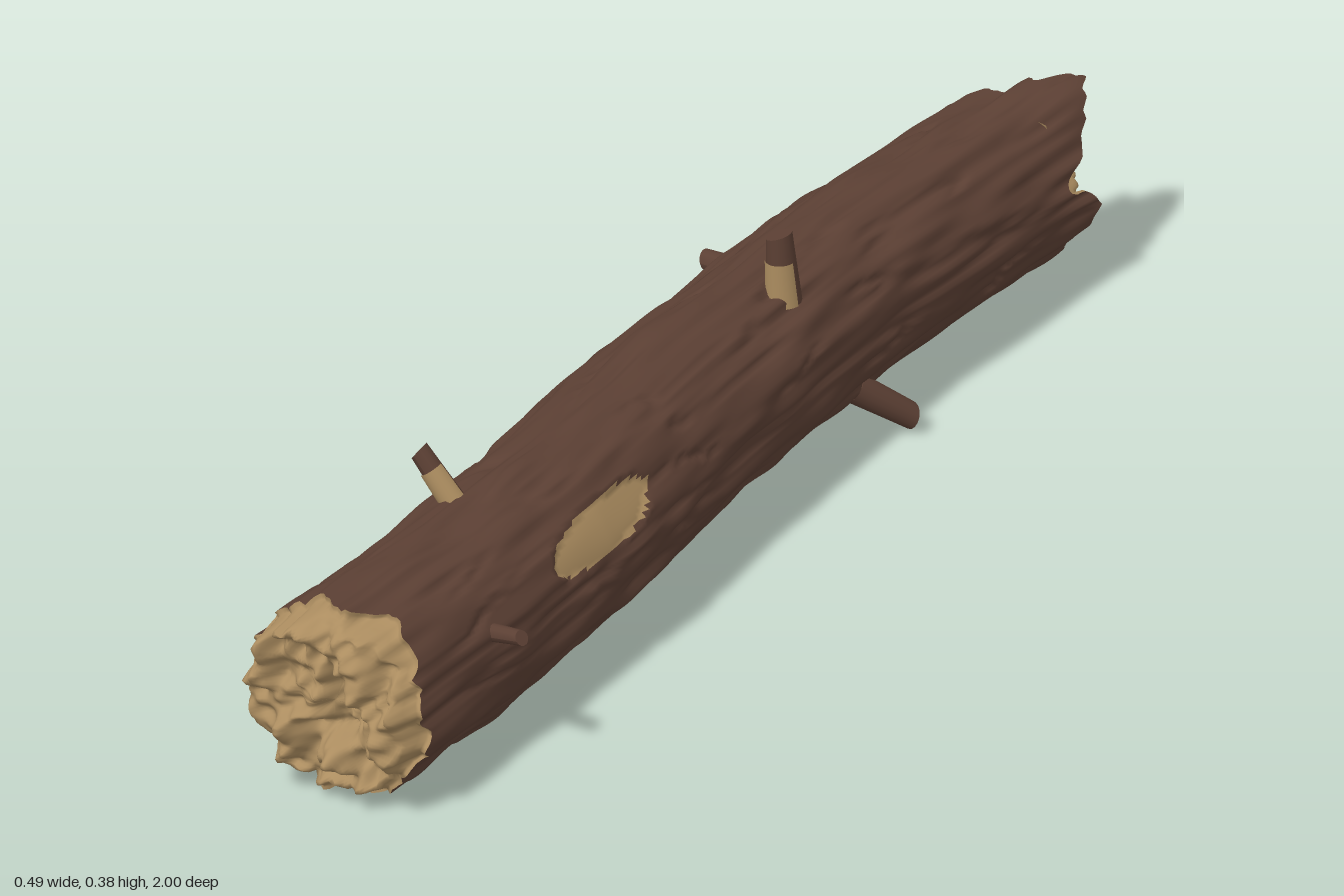
import * as THREE from 'three';

const { lerp, clamp, smoothstep } = THREE.MathUtils;

// Smooth 3D value noise in 0..1
function hash(x, y, z) {
  const s = Math.sin(x * 127.1 + y * 311.7 + z * 74.7) * 43758.5453;
  return s - Math.floor(s);
}
function noise(x, y, z) {
  const ix = Math.floor(x), iy = Math.floor(y), iz = Math.floor(z);
  const fade = (t) => t * t * (3 - 2 * t);
  const u = fade(x - ix), v = fade(y - iy), w = fade(z - iz);
  const edge = (b, c) => lerp(hash(ix, iy + b, iz + c), hash(ix + 1, iy + b, iz + c), u);
  return lerp(lerp(edge(0, 0), edge(1, 0), v), lerp(edge(0, 1), edge(1, 1), v), w);
}
const around = (a, k, z) => noise(Math.cos(a) * k + 20, Math.sin(a) * k + 20, z + 40);
const angleGap = (a, b) => Math.atan2(Math.sin(a - b), Math.cos(a - b));
const bump = (a, centre, width) => Math.exp(-((angleGap(a, centre) / width) ** 2));

// Trunk stations along its length: z, centre x, centre y, radius
const STATIONS = [
  [-1, -0.043, 0.16, 0.125], [-0.8, -0.05, 0.16, 0.126], [-0.45, -0.048, 0.165, 0.131],
  [0, -0.016, 0.163, 0.138], [0.4, 0.032, 0.156, 0.144], [0.65, 0.052, 0.155, 0.144],
  [1, 0.062, 0.156, 0.15],
];
function trunkAt(z) {
  let i = 0;
  while (i < STATIONS.length - 2 && z > STATIONS[i + 1][0]) i++;
  const a = STATIONS[i], b = STATIONS[i + 1];
  const t = clamp((z - a[0]) / (b[0] - a[0]), 0, 1);
  return [1, 2, 3].map((k) => lerp(a[k], b[k], t));
}

// Ragged ends of the bark: a tall splinter, a notch and a torn side at the back
const frontEdge = (a) => 0.915 + 0.05 * (around(a, 7, 3) - 0.4);
const backEdge = (a) => -0.935 + 0.04 * (around(a, 8, 9) - 0.5)
  - 0.055 * bump(a, 1.15, 0.32) + 0.07 * bump(a, 0.2, 0.22) + 0.06 * bump(a, 2.4, 0.6);

// Patch where the bark has come off
function inWound(a, z) {
  const d = ((z - 0.41) / 0.145) ** 2 + (angleGap(a, 0.52) / 0.27) ** 2;
  return d + 0.5 * (around(a, 9, z * 14) - 0.5) < 1;
}

function barkRadius(a, z) {
  const lumps = around(a, 3.5, z * 6) - 0.5;
  const plates = around(a, 8, z * 9) - 0.5;
  const crack = 1 - smoothstep(Math.abs(around(a, 5.5, z * 3.5) - 0.5), 0, 0.07);
  const splinter = 0.022 * bump(a, 1.15, 0.35) * smoothstep(-z, 0.84, 0.98);
  const relief = 0.013 * lumps + 0.012 * plates - 0.006 * crack;
  const r = trunkAt(z)[2] + splinter;
  return inWound(a, z) ? r - 0.006 + 0.006 * lumps : r + relief;
}

function trunkPoint(a, z, scale = 1, endZ = z) {
  const [x, y] = trunkAt(z);
  const r = barkRadius(a, z) * scale;
  return [x + r * Math.cos(a), y + r * Math.sin(a), endZ];
}

// Closed loops joined into a skin; quads are sorted into material groups
function loft(rows, cols, point, flip, materialOf = () => 0) {
  const positions = [], faces = [[], []];
  for (let i = 0; i <= rows; i++) {
    for (let j = 0; j < cols; j++) positions.push(...point(i / rows, (j / cols) * Math.PI * 2));
  }
  for (let i = 0; i < rows; i++) {
    for (let j = 0; j < cols; j++) {
      const k = (j + 1) % cols;
      const [a, b, c, d] = [i * cols + j, i * cols + k, (i + 1) * cols + k, (i + 1) * cols + j];
      const list = faces[materialOf((i + 0.5) / rows, ((j + 0.5) / cols) * Math.PI * 2)];
      if (flip) list.push(a, c, b, a, d, c);
      else list.push(a, b, c, a, c, d);
    }
  }
  const geo = new THREE.BufferGeometry();
  geo.setAttribute('position', new THREE.Float32BufferAttribute(positions, 3));
  geo.setIndex([...faces[0], ...faces[1]]);
  geo.addGroup(0, faces[0].length, 0);
  geo.addGroup(faces[0].length, faces[1].length, 1);
  geo.computeVertexNormals();
  return geo;
}

export function createModel() {
  const log = new THREE.Group();
  log.name = 'log';
  const bark = new THREE.MeshStandardMaterial({ color: 0x5c4034 });
  const wood = new THREE.MeshStandardMaterial({ color: 0xac8d60 });
  bark.name = 'bark brown';
  wood.name = 'bare wood';
  const COLS = 144;

  function add(parent, name, geometry, material) {
    const mesh = new THREE.Mesh(geometry, material);
    mesh.name = name;
    parent.add(mesh);
    return mesh;
  }

  // Bark-covered trunk with the bare patch
  const along = (t, a) => lerp(backEdge(a), frontEdge(a), t);
  add(log, 'trunk', loft(200, COLS, (t, a) => trunkPoint(a, along(t, a)), false,
    (t, a) => (inWound(a, along(t, a)) ? 1 : 0)), [bark, wood]);

  // Rough broken face at the front
  add(log, 'frontBreak', loft(36, COLS, (s, a) => {
    const edge = frontEdge(a), [px, py] = trunkPoint(a, edge, 1 - s);
    const coarse = noise(px * 26 + 50, py * 26 + 50, 2);
    const fine = noise(px * 60 + 50, py * 60 + 50, 7);
    const face = 0.915 + 0.07 * coarse + 0.035 * fine - 0.03 * smoothstep(s, 0.5, 1);
    return [px, py, Math.min(1, lerp(edge, face, smoothstep(s, 0.05, 0.13)))];
  }, false), wood);

  // Stepped, pointed break at the back
  add(log, 'backBreak', loft(48, COLS, (s, a) => {
    const edge = backEdge(a), [px, py] = trunkPoint(a, edge, 1 - s);
    const q = s * 5 + 0.7 * (around(a, 2, s * 2) - 0.5) * (1 - s);
    const step = (Math.floor(q) + smoothstep(q - Math.floor(q), 0.5, 1)) / 5;
    const rough = 0.025 * (noise(px * 35 + 50, py * 35 + 50, 4) - 0.5) * (1 - s);
    const face = -0.875 - 0.125 * clamp(step, 0, 1) + rough;
    return [px + 0.025 * s, py + 0.005 * s, lerp(edge, face, smoothstep(s, 0.05, 0.14))];
  }, true), wood);

  // Broken branch stubs; some have a strip of bare wood on one side of the base
  const UP = new THREE.Vector3(0, 1, 0);
  function stub(name, from, to, r0, r1, bare, tip = bark) {
    const start = new THREE.Vector3(...from);
    const dir = new THREE.Vector3(...to).sub(start);
    const length = dir.length();
    const group = new THREE.Group();
    group.name = name;
    group.position.copy(start);
    group.quaternion.setFromUnitVectors(UP, dir.normalize());
    const geo = new THREE.CylinderGeometry(r1, r0, length, 14, 4);
    const p = geo.attributes.position;
    for (let i = 0; i < p.count; i++) {
      // Slanted tip
      if (p.getY(i) > length * 0.49) p.setY(i, p.getY(i) + p.getX(i) * 0.3);
    }
    geo.translate(0, length / 2, 0);
    geo.computeVertexNormals();
    add(group, name + 'Bark', geo, [bark, tip, bark]);
    if (bare) {
      const side = new THREE.Vector3(...bare).applyQuaternion(group.quaternion.clone().invert());
      const h = length * 0.64, rTop = lerp(r0, r1, 0.64);
      const strip = new THREE.CylinderGeometry(rTop + 0.002, r0 + 0.002, h, 10, 1, true,
        Math.atan2(side.x, side.z) - 1.4, 2.8);
      strip.translate(0, h / 2, 0);
      add(group, name + 'BareWood', strip, wood);
    }
    log.add(group);
  }
  stub('topBranch', [0.026, 0.27, -0.23], [0.022, 0.376, -0.222], 0.025, 0.019, [0, 0, 1]);
  stub('topFrontBranch', [-0.005, 0.285, 0.55], [-0.053, 0.354, 0.563], 0.018, 0.015, [0.2, 0.3, 1]);
  stub('rightBranch', [-0.15, 0.175, -0.42], [-0.24, 0.169, -0.428], 0.02, 0.016, [0, 1, -0.4]);
  stub('leftFrontBranch', [0.17, 0.205, 0.725], [0.24, 0.22, 0.738], 0.014, 0.011);
  stub('rightLowBranch', [-0.07, 0.1, 0.495], [-0.143, 0.07, 0.51], 0.016, 0.013, [-0.3, 0.2, -1]);
  stub('leftLowBranch', [0.055, 0.085, -0.36], [0.108, 0.028, -0.425], 0.023, 0.019, null, wood);

  return log;
}
